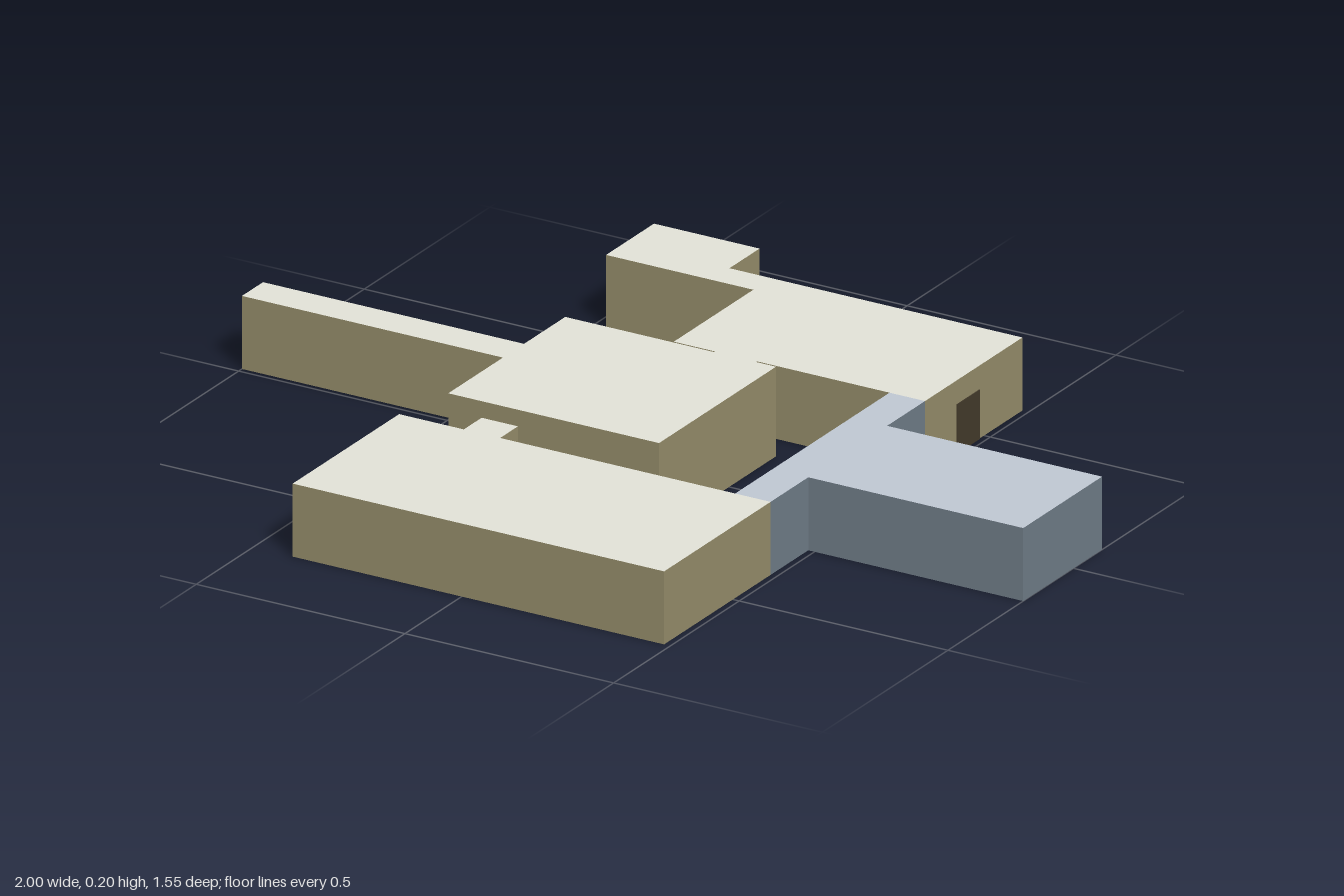
import * as THREE from 'three';

const mat = (name, color) => {
  const m = new THREE.MeshStandardMaterial({ color });
  m.name = name;
  return m;
};

export function createModel() {
  const model = new THREE.Group();
  model.name = 'buildingComplex';

  const darkBrown = mat('dark brown', 0x433a2b);
  const tan = [mat('tan wall', 0x958d6a), mat('cream roof', 0xe3e3d8), darkBrown];
  const blue = [
    mat('blue grey wall', 0x707d88),
    mat('blue grey roof', 0xc0c8d3),
    mat('dark blue grey', 0x323a42),
  ];
  const dark = [darkBrown, darkBrown, darkBrown];

  // A flat-roofed block given by its plan limits, with wall, roof and floor colours
  const block = (name, [x0, x1], [z0, z1], y0, y1, [wall, roof, floor]) => {
    const geometry = new THREE.BoxGeometry(x1 - x0, y1 - y0, z1 - z0);
    const mesh = new THREE.Mesh(geometry, [wall, wall, roof, floor, wall, wall]);
    mesh.position.set((x0 + x1) / 2, (y0 + y1) / 2, (z0 + z1) / 2);
    mesh.name = name;
    model.add(mesh);
  };
  const H = 0.163;

  // Central hall and its long side corridor
  block('centralHall', [-0.33, 0.175], [-0.187, 0.279], 0, 0.2, tan);
  block('longCorridor', [-1, -0.33], [-0.097, -0.013], 0, H, tan);

  // Front wing and the short link to the hall
  block('frontWing', [-0.405, 0.485], [0.35, 0.774], 0, H, tan);
  block('frontLink', [-0.25, -0.163], [0.279, 0.35], 0, H, tan);

  // Back wing, its link to the hall, the neck and the annex
  block('backWing', [-0.117, 0.485], [-0.653, -0.265], 0, H, tan);
  block('backLink', [-0.017, 0.083], [-0.265, -0.187], 0, H, tan);
  block('annexNeck', [-0.217, -0.117], [-0.653, -0.582], 0, H, tan);
  block('annex', [-0.47, -0.217], [-0.773, -0.582], 0, H, tan);

  // Blue connecting corridor and side block
  block('blueCorridor', [0.4, 0.485], [-0.265, 0.35], 0, H, blue);
  block('blueBlock', [0.485, 1], [-0.114, 0.2], 0, H, blue);

  // Dark openings: low panel round the annex corner, wing doors
  block('annexBackPanel', [-0.47, -0.215], [-0.775, -0.772], 0, 0.06, dark);
  block('annexSidePanel', [-0.218, -0.215], [-0.773, -0.721], 0, 0.06, dark);
  block('backWingDoor', [0.484, 0.487], [-0.48, -0.39], 0, 0.11, dark);
  for (const [z0, z1] of [[0.45, 0.53], [0.64, 0.69]]) {
    block('frontWingDoor', [-0.407, -0.404], [z0, z1], 0, 0.12, dark);
  }

  return model;
}
